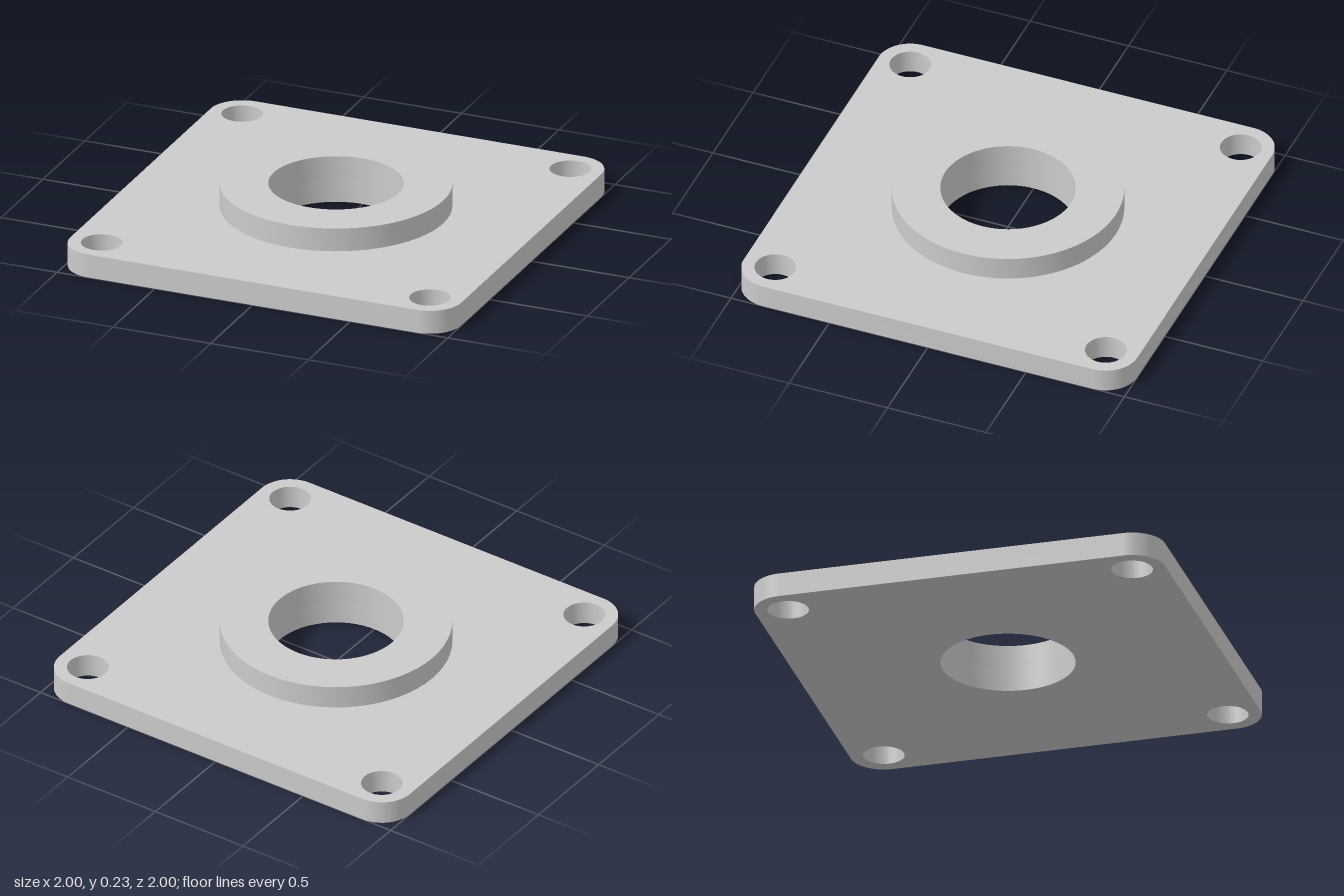
import * as THREE from 'three';
import { toCreasedNormals } from 'three/addons/utils/BufferGeometryUtils.js';

const PLATE_TOP = 0.117, BOSS_TOP = 0.233;
const BORE_R = 0.319, BOSS_R = 0.548;
const CORNER = 0.84, CORNER_R = 0.16, BOLT_R = 0.098;

function circleHole(x, y, r) {
  return new THREE.Path().absarc(x, y, r, 0, Math.PI * 2, true);
}

export function createModel() {
  const model = new THREE.Group();
  model.name = 'flangePlate';
  const material = new THREE.MeshStandardMaterial({ color: 0xcccccc });
  const addPart = (name, geometry) => {
    const mesh = new THREE.Mesh(toCreasedNormals(geometry, 0.5), material);
    mesh.name = name;
    model.add(mesh);
    return mesh;
  };

  // Square base plate with rounded corners, a central bore and four bolt holes
  const outline = new THREE.Shape();
  const corners = [[1, 1], [-1, 1], [-1, -1], [1, -1]];
  corners.forEach(([sx, sy], i) => {
    const start = i * Math.PI / 2;
    outline.absarc(sx * CORNER, sy * CORNER, CORNER_R, start, start + Math.PI / 2, false);
    outline.holes.push(circleHole(sx * CORNER, sy * CORNER, BOLT_R));
  });
  outline.closePath();
  outline.holes.push(circleHole(0, 0, BORE_R));
  const plate = new THREE.ExtrudeGeometry(outline, {
    depth: PLATE_TOP, bevelEnabled: false, curveSegments: 32,
  });
  plate.rotateX(-Math.PI / 2);
  addPart('basePlate', plate);

  // Raised ring around the bore, open underneath where it meets the plate
  const profile = [
    [BOSS_R, PLATE_TOP], [BOSS_R, BOSS_TOP], [BORE_R, BOSS_TOP], [BORE_R, PLATE_TOP],
  ].map(([x, y]) => new THREE.Vector2(x, y));
  addPart('raisedBoss', new THREE.LatheGeometry(profile, 64));

  return model;
}
